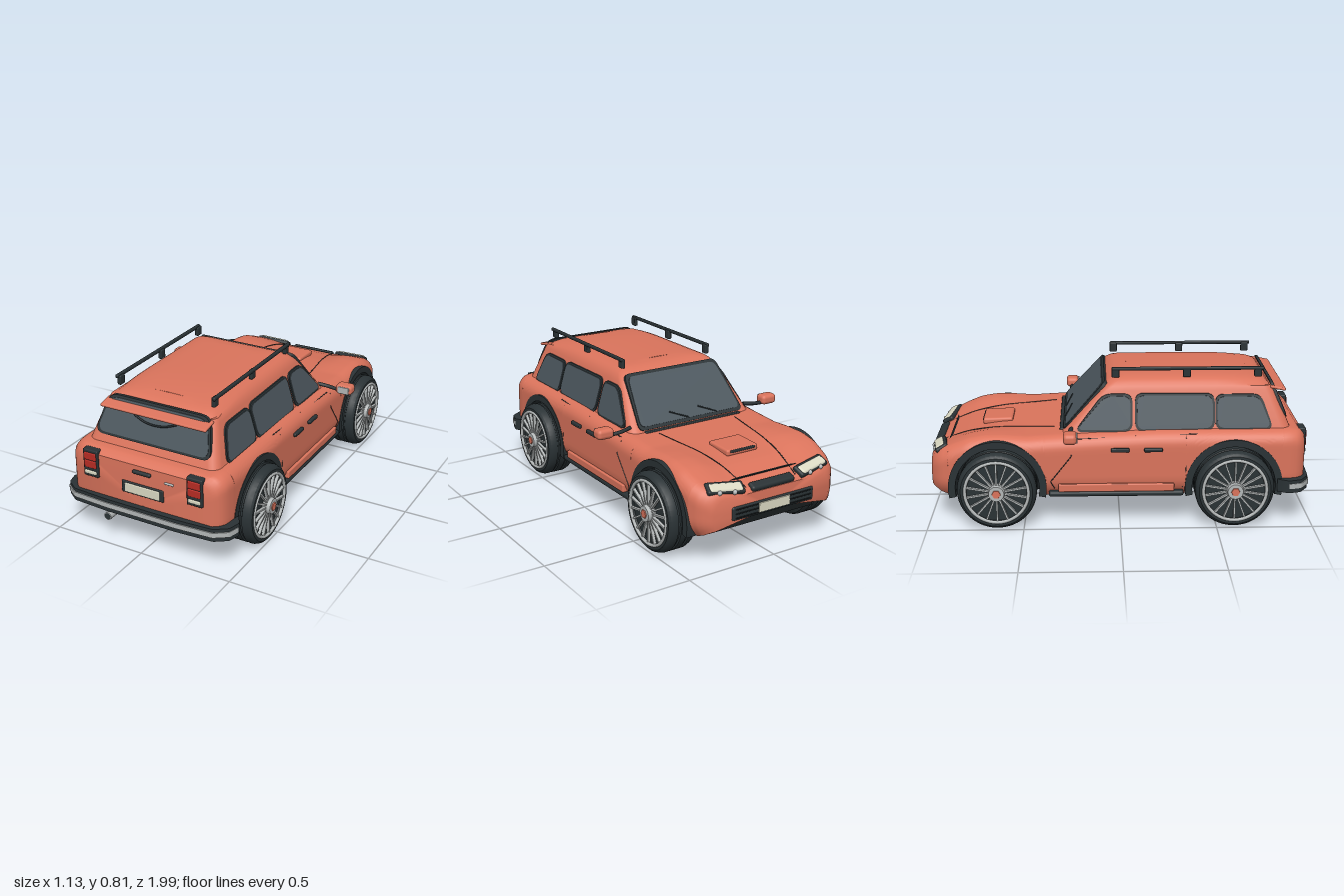
import * as THREE from 'three';
import { toCreasedNormals } from 'three/addons/utils/BufferGeometryUtils.js';
import { RoundedBoxGeometry } from 'three/addons/geometries/RoundedBoxGeometry.js';

const mat = (color) => new THREE.MeshStandardMaterial({ color, side: THREE.DoubleSide });
const PAINT = mat(0xdb745c), DARK = mat(0x2a3235), GLASS = mat(0x4c575e), CHROME = mat(0xb4b8b8);
const RED = mat(0xb82c24), CREAM = mat(0xdcdac4), FLOOR = mat(0x171c1e);
const REAR_AXLE = 0.59, FRONT_AXLE = -0.635, AXLE_Y = 0.205, ARCH = 0.25;

const lerp = THREE.MathUtils.lerp;
function interp(table, z) {
  if (z <= table[0][0]) return table[0][1];
  for (let i = 1; i < table.length; i++) {
    const [z0, a] = table[i - 1], [z1, b] = table[i];
    if (z <= z1) return lerp(a, b, (z - z0) / (z1 - z0));
  }
  return table[table.length - 1][1];
}

// Body rules: width, fender height, hood height and lower edge along z
const WIDTH = [[-0.98, 0.35], [-0.965, 0.375], [-0.93, 0.41], [-0.88, 0.43], [-0.8, 0.44], [0.86, 0.44], [0.91, 0.432], [0.94, 0.415], [0.96, 0.385]];
const TOP = [[-0.98, 0.355], [-0.965, 0.378], [-0.92, 0.405], [-0.85, 0.435], [-0.78, 0.462], [-0.7, 0.476], [-0.6, 0.476],
  [-0.48, 0.468], [-0.3, 0.478], [-0.1, 0.488], [0.2, 0.5], [0.88, 0.5], [0.93, 0.492], [0.96, 0.465]];
const HOOD = [[-0.98, 0.35], [-0.965, 0.37], [-0.9, 0.398], [-0.8, 0.432], [-0.65, 0.457], [-0.5, 0.468], [-0.3, 0.478]];
const BASE = [[-0.98, 0.2], [-0.93, 0.17], [-0.88, 0.15], [0.85, 0.15], [0.96, 0.175]];
const topY = (x, z) => z > -0.3 ? interp(TOP, z)
  : lerp(interp(HOOD, z), interp(TOP, z), THREE.MathUtils.smoothstep(Math.abs(x), 0.15, 0.32));
function bodyX(y, z) {
  const r = 0.075, over = y - (interp(TOP, z) - r), w = interp(WIDTH, z);
  if (over > 0) return w - r + Math.sqrt(Math.max(0, r * r - over * over));
  return w - (y < 0.25 ? 0.05 * ((0.25 - y) / 0.1) ** 2 : 0);
}
// Cabin rules: leaning walls
const cabX = (y) => 0.37 - 0.3 * (y - 0.5);
const cabFront = (y) => -0.285 + 0.89 * (y - 0.49);
const cabRear = (y) => 0.885 - 0.42 * (y - 0.5);

function add(parent, name, geo, material, x = 0, y = 0, z = 0) {
  const m = new THREE.Mesh(geo, material);
  m.name = name;
  m.position.set(x, y, z);
  parent.add(m);
  return m;
}
const box = (w, h, d, r = 0.006) => new RoundedBoxGeometry(w, h, d, 2, Math.min(r, w / 2.1, h / 2.1, d / 2.1));
const tube = (pts, r) => new THREE.TubeGeometry(new THREE.CatmullRomCurve3(pts.map((p) => new THREE.Vector3(...p))), 24, r, 6);

// Skin over a list of equal-length rings
function loft(rings, closed, crease = 0.6) {
  const n = rings[0].length, index = [];
  for (let i = 0; i < rings.length - 1; i++)
    for (let j = 0; j < (closed ? n : n - 1); j++) {
      const a = i * n + j, b = i * n + (j + 1) % n;
      index.push(a, b, a + n, b, b + n, a + n);
    }
  const g = new THREE.BufferGeometry();
  g.setAttribute('position', new THREE.Float32BufferAttribute(rings.flat(2), 3));
  g.setIndex(index);
  return toCreasedNormals(g, crease);
}
// Thin plate with rounded corners, laid on a surface by map(u, v, depth)
function panel(pts, r, d0, d1, map) {
  const s = new THREE.Shape(), P = pts.map((p) => new THREE.Vector2(...p)), n = P.length;
  P.forEach((p, i) => {
    const toward = (q) => p.clone().add(q.clone().sub(p).setLength(Math.min(r, q.distanceTo(p) / 2)));
    const a = toward(P[(i + n - 1) % n]), b = toward(P[(i + 1) % n]);
    i ? s.lineTo(a.x, a.y) : s.moveTo(a.x, a.y);
    s.quadraticCurveTo(p.x, p.y, b.x, b.y);
  });
  const g = new THREE.ExtrudeGeometry(s, { depth: d1 - d0, bevelEnabled: false, curveSegments: 5 });
  const a = g.attributes.position;
  for (let i = 0; i < a.count; i++) a.setXYZ(i, ...map(a.getX(i), a.getY(i), a.getZ(i) + d0));
  return toCreasedNormals(g, 0.5);
}
function grow(pts, k) {
  const c = pts.reduce((s, p) => [s[0] + p[0] / pts.length, s[1] + p[1] / pts.length], [0, 0]);
  return pts.map((p) => [p[0] + Math.sign(p[0] - c[0]) * k, p[1] + Math.sign(p[1] - c[1]) * k]);
}

function bodyShell() {
  const zs = [-0.98, -0.972, -0.965, -0.95, -0.93, -0.91, 0.85, 0.88, 0.91, 0.93, 0.945, 0.96];
  for (let i = 0; i <= 14; i++) zs.push(lerp(-0.38, 0.335, i / 14));
  for (const c of [FRONT_AXLE, REAR_AXLE]) {
    zs.push(c - ARCH - 0.001, c + ARCH + 0.001);
    for (let i = 0; i <= 28; i++) zs.push(c - ARCH * 0.9999 * Math.cos(i / 28 * Math.PI));
  }
  zs.sort((a, b) => a - b);
  const rings = zs.map((z) => {
    let low = interp(BASE, z);
    for (const c of [FRONT_AXLE, REAR_AXLE])
      if (Math.abs(z - c) < ARCH) low = AXLE_Y + Math.sqrt(ARCH * ARCH - (z - c) ** 2);
    const half = [], y1 = interp(TOP, z);
    for (let i = 0; i <= 18; i++) {
      const y = lerp(low, y1, Math.sin(i / 18 * Math.PI / 2));
      half.push([bodyX(y, z), y, z]);
    }
    const edge = bodyX(y1, z);
    for (let i = 1; i <= 12; i++) half.push([edge * (1 - i / 12), topY(edge * (1 - i / 12), z), z]);
    return [...half, ...half.slice(0, -1).reverse().map(([x, y, q]) => [-x, y, q])];
  });
  const cap = (ring, z) => ring.map(() => [0, 0.25, z]);
  return loft([cap(rings[0], -0.982), ...rings, cap(rings[0], 0.963)], false);
}

function cabinShell() {
  const layers = [[0.45, 0], [0.69, 0], [0.71, 0.004], [0.727, 0.012], [0.74, 0.026], [0.749, 0.05], [0.754, 0.09], [0.757, 0.15]];
  const rings = layers.map(([y, inset]) => {
    const w = cabX(y) - inset, f = cabFront(y) + inset * 0.6, b = cabRear(y) - inset * 0.6, r = 0.05, ring = [];
    [[1, 1], [-1, 1], [-1, -1], [1, -1]].forEach(([sx, sz], q) => {
      for (let i = 0; i <= 6; i++) {
        const t = (q + i / 6) * Math.PI / 2;
        ring.push([sx * (w - r) + r * Math.cos(t), y, (sz > 0 ? b - r : f + r) + r * Math.sin(t)]);
      }
      if (q % 2) for (let i = 1; i < 10; i++) {
        const t = q === 1 ? i / 10 : 1 - i / 10;
        ring.push([sx * w, y, lerp(b - r, f + r, t)]);
      }
    });
    return ring.map(([x, yy, z]) => [x, yy - (y > 0.72 && z > 0.45 ? 0.025 * ((z - 0.45) / 0.35) ** 2 : 0), z]);
  });
  rings.push(rings[rings.length - 1].map(([, y, z]) => [0, y + 0.002, z]));
  return loft(rings, true);
}

function wheel() {
  const g = new THREE.Group();
  const prof = [[0.1, -0.08], [0.18, -0.08], [0.197, -0.07], [0.205, -0.05]];
  for (const y of [-0.025, 0.025]) prof.push([0.205, y - 0.008], [0.198, y - 0.004], [0.198, y + 0.004], [0.205, y + 0.008]);
  prof.push([0.205, 0.05], [0.197, 0.07], [0.185, 0.08], [0.165, 0.08], [0.16, 0.06], [0, 0.06]);
  add(g, 'tire', toCreasedNormals(new THREE.LatheGeometry(prof.map((p) => new THREE.Vector2(...p)), 48), 0.5), DARK);
  add(g, 'rimRing', new THREE.TorusGeometry(0.163, 0.009, 8, 48).rotateX(Math.PI / 2), CHROME, 0, 0.078, 0);
  for (let i = 0; i < 18; i++) {
    const a = i / 18 * Math.PI * 2;
    add(g, 'spoke', new THREE.BoxGeometry(0.13, 0.016, 0.009), CHROME, 0.097 * Math.cos(a), 0.073, -0.097 * Math.sin(a)).rotation.y = a;
  }
  add(g, 'hub', new THREE.CylinderGeometry(0.04, 0.046, 0.04, 24), CHROME, 0, 0.08, 0);
  add(g, 'hubCap', new THREE.CylinderGeometry(0.022, 0.024, 0.008, 6), PAINT, 0, 0.101, 0);
  return g;
}

export function createModel() {
  const car = new THREE.Group();
  car.name = 'car';
  add(car, 'body', bodyShell(), PAINT);
  add(car, 'cabin', cabinShell(), PAINT);
  add(car, 'floor', new THREE.BoxGeometry(0.64, 0.25, 1.8), FLOOR, 0, 0.277, 0);
  add(car, 'floorMiddle', new THREE.BoxGeometry(0.78, 0.02, 0.71), FLOOR, 0, 0.162, -0.022);

  // Windscreen and rear window
  const screen = [[-0.315, 0.5], [0.315, 0.5], [0.275, 0.715], [-0.275, 0.715]];
  const onFront = (u, v, d) => [u, v + d * 0.6, cabFront(v) - d];
  add(car, 'windscreenFrame', panel(grow(screen, 0.014), 0.03, -0.01, 0.005, onFront), DARK);
  add(car, 'windscreen', panel(screen, 0.03, -0.01, 0.008, onFront), GLASS);
  const back = [[-0.32, 0.55], [0.32, 0.55], [0.275, 0.715], [-0.275, 0.715]];
  const onBack = (u, v, d) => [u, v, cabRear(v) + d];
  add(car, 'rearWindowFrame', panel(grow(back, 0.012), 0.05, -0.01, 0.006, onBack), DARK);
  add(car, 'rearWindow', panel(back, 0.05, -0.01, 0.009, onBack), GLASS);
  add(car, 'spoiler', box(0.6, 0.016, 0.085, 0.008), PAINT, 0, 0.693, 0.823).rotation.x = 0.2;
  add(car, 'rearWiper', tube([[-0.12, 0.662, 0.832], [-0.06, 0.642, 0.84], [0, 0.636, 0.843], [0.06, 0.642, 0.84], [0.12, 0.662, 0.832]], 0.005), DARK);
  for (const x of [-0.16, 0.02])
    add(car, 'frontWiper', tube([[x, 0.508, cabFront(0.508) - 0.014], [x + 0.1, 0.545, cabFront(0.545) - 0.014]], 0.004), DARK);

  // Hood scoop, grilles and front plate
  add(car, 'hoodScoop', box(0.19, 0.035, 0.16, 0.012), PAINT, 0, 0.46, -0.65).rotation.x = -0.03;
  add(car, 'scoopMouth', box(0.15, 0.015, 0.01), DARK, 0, 0.464, -0.728);
  add(car, 'cowlVent', box(0.6, 0.012, 0.025), DARK, 0, 0.478, -0.3);
  add(car, 'upperGrille', box(0.26, 0.035, 0.05, 0.014), DARK, 0, 0.368, -0.96).rotation.x = -0.4;
  add(car, 'lowerGrille', box(0.5, 0.075, 0.03, 0.014), DARK, 0, 0.265, -0.973);
  for (let i = 0; i < 3; i++) add(car, 'grilleBar', box(0.46, 0.006, 0.008), FLOOR, 0, 0.243 + i * 0.022, -0.988);
  add(car, 'frontPlate', box(0.19, 0.05, 0.008), CREAM, 0, 0.268, -0.991);

  // Rear fittings
  add(car, 'plateFrame', box(0.24, 0.065, 0.02), DARK, 0, 0.335, 0.958);
  add(car, 'rearPlate', box(0.2, 0.05, 0.01), CREAM, 0, 0.335, 0.967);
  add(car, 'tailgateHandle', box(0.105, 0.02, 0.02, 0.009), DARK, 0, 0.432, 0.965);
  add(car, 'badge', box(0.052, 0.012, 0.01), CHROME, 0.152, 0.413, 0.962);
  const pipe = add(car, 'exhaust', new THREE.CylinderGeometry(0.021, 0.021, 0.09, 20).rotateX(Math.PI / 2), CHROME, -0.2, 0.147, 0.942);
  add(pipe, 'exhaustBore', new THREE.CircleGeometry(0.017, 20), DARK, 0, 0, 0.046);
  const path = [[0.482, 0.87], [0.465, 0.935], [0.4, 0.98], [0.2, 0.992]];
  const outline = [...path, ...path.map(([x, z]) => [-x, z]).reverse()];
  const ribbon = (t, y0, y1) => panel([...outline, ...outline.map(([x, z]) => [x * 0.93, z - t]).reverse()], 0.01, y0, y1, (u, v, d) => [u, d, v]);
  add(car, 'rearBumper', ribbon(0.06, 0.18, 0.248), DARK);
  const trim = add(car, 'bumperTrim', ribbon(0.04, 0.203, 0.23), CHROME);
  trim.scale.x = 1.003;
  trim.position.z = 0.006;

  const sideWindows = [
    [[0.785, 0.505], [0.505, 0.505], [0.505, 0.66], [0.72, 0.66]],
    [[0.48, 0.505], [0.09, 0.5], [0.09, 0.668], [0.48, 0.665]],
    [[0.055, 0.5], [-0.225, 0.5], [-0.075, 0.665], [0.055, 0.665]]];
  for (const s of [1, -1]) {
    const side = new THREE.Group();
    side.name = s > 0 ? 'leftSide' : 'rightSide';
    car.add(side);
    const onCabin = (u, v, d) => [s * (cabX(v) + d), v, u];
    const onBody = (u, v, d) => [s * (bodyX(v, u) + d), v, u];
    for (const w of sideWindows) {
      add(side, 'windowFrame', panel(grow(w, 0.011), 0.045, -0.01, 0.007, onCabin), DARK);
      add(side, 'sideWindow', panel(w, 0.04, -0.01, 0.01, onCabin), GLASS);
    }
    // Doors, sill and running board
    const seams = [[[0.34, 0.47], [0.34, 0.3], [0.325, 0.2]], [[0.08, 0.48], [0.08, 0.2]],
      [[-0.27, 0.45], [-0.25, 0.38], [-0.36, 0.24], [-0.34, 0.2]], [[0.4, 0.485], [-0.25, 0.462]]];
    for (const line of seams)
      for (let i = 1; i < line.length; i++) add(side, 'doorSeam', tube([onBody(...line[i - 1], 0), onBody(...line[i], 0)], 0.0025), DARK);
    for (const z of [0.17, 0]) add(side, 'doorHandle', box(0.02, 0.02, 0.095), DARK, s * 0.447, 0.412, z);
    add(side, 'sill', box(0.03, 0.042, 0.6), PAINT, s * 0.436, 0.207, -0.02);
    add(side, 'runningBoard', box(0.06, 0.028, 0.7, 0.012), DARK, s * 0.42, 0.172, -0.02);
    add(side, 'hoodSeam', tube([-0.34, -0.5, -0.65, -0.8, -0.96].map((z) => {
      const x = s * lerp(0.24, 0.15, (-0.34 - z) / 0.62);
      return [x, topY(x, z), z];
    }), 0.0025), DARK);
    // Wheels and arch liners
    for (const z of [REAR_AXLE, FRONT_AXLE]) {
      const w = wheel();
      w.name = z > 0 ? 'rearWheel' : 'frontWheel';
      w.position.set(s * 0.42, AXLE_Y, z);
      w.rotation.z = -s * Math.PI / 2;
      side.add(w);
      const arch = new THREE.Shape();
      arch.absarc(0, 0, ARCH + 0.004, -0.2, Math.PI + 0.2, false);
      arch.absarc(0, 0, 0.217, Math.PI + 0.2, -0.2, true);
      const g = new THREE.ExtrudeGeometry(arch, { depth: 0.13, bevelEnabled: false, curveSegments: 32 });
      add(side, 'wheelArch', g.rotateY(Math.PI / 2), DARK, s > 0 ? 0.312 : -0.442, AXLE_Y, z);
    }
    // Mirror
    add(side, 'mirrorArm', tube([[s * 0.36, 0.503, -0.25], [s * 0.42, 0.495, -0.26], [s * 0.49, 0.488, -0.255]], 0.011), DARK);
    add(side, 'mirror', box(0.094, 0.054, 0.07, 0.02), PAINT, s * 0.52, 0.507, -0.255);
    add(side, 'mirrorGlass', box(0.066, 0.04, 0.008), CHROME, s * 0.522, 0.507, -0.22);
    // Roof rail
    add(side, 'roofRail', box(0.018, 0.018, 0.79), DARK, s * 0.275, 0.797, 0.355);
    for (const z of [0.72, 0.35, -0.02]) add(side, 'railPost', box(0.022, 0.05, 0.04), DARK, s * 0.268, 0.775, z);
    // Head lamps
    const lamp = new THREE.Group();
    lamp.name = 'headLamp';
    lamp.position.set(s * 0.262, 0.388, -0.938);
    lamp.rotation.set(-0.5, -s * 0.2, 0);
    side.add(lamp);
    add(lamp, 'lampRim', box(0.2, 0.03, 0.07, 0.012), DARK);
    add(lamp, 'lampLens', box(0.175, 0.03, 0.052, 0.012), CREAM, 0, 0.006, -0.004);
    for (const x of [-0.04, 0.04]) add(lamp, 'lampBulb', new THREE.SphereGeometry(0.013, 12, 8), CHROME, x, 0.006, -0.032);
    // Tail lamps
    add(side, 'tailLampFrame', box(0.086, 0.148, 0.04), DARK, s * 0.297, 0.413, 0.953);
    for (const y of [0.452, 0.409]) add(side, 'tailLampRed', box(0.07, 0.041, 0.012), RED, s * 0.297, y, 0.972);
    add(side, 'reverseLamp', box(0.07, 0.02, 0.012), CREAM, s * 0.297, 0.364, 0.972);
  }
  return car;
}
